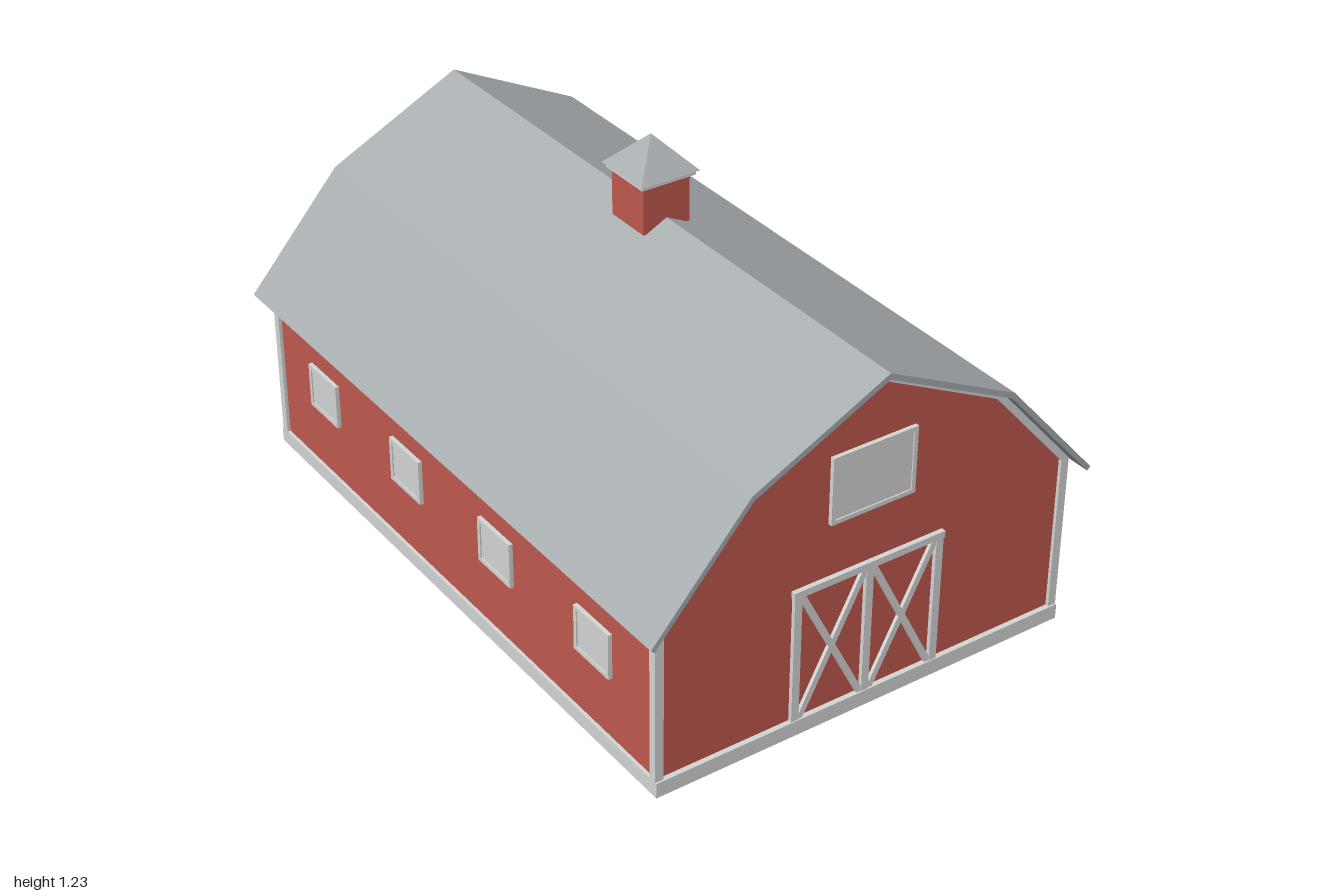
import * as THREE from 'three';

const mat = (name, color) => {
  const m = new THREE.MeshStandardMaterial({ color });
  m.name = name;
  return m;
};

export function createModel() {
  const red = mat('barn red', 0xc05a4e);
  const white = mat('trim white', 0xd4d6d5);
  const grey = mat('roof grey', 0xa8adb0);
  const barn = new THREE.Group();
  barn.name = 'barn';

  const add = (parent, name, geometry, material) => {
    const mesh = new THREE.Mesh(geometry, material);
    mesh.name = name;
    parent.add(mesh);
    return mesh;
  };
  const box = (parent, name, material, w, h, d, x, y, z) => {
    const mesh = add(parent, name, new THREE.BoxGeometry(w, h, d), material);
    mesh.position.set(x, y, z);
    return mesh;
  };
  // Closed outline extruded along z, centred on z = 0
  const prism = (parent, name, material, pts, depth) => {
    const shape = new THREE.Shape(pts.map(([x, y]) => new THREE.Vector2(x, y)));
    const geometry = new THREE.ExtrudeGeometry(shape, { depth, bevelEnabled: false });
    geometry.translate(0, 0, -depth / 2);
    return add(parent, name, geometry, material);
  };
  // Completes a right-hand line ending at the ridge with its mirror image
  const mirrored = (half) => [...half, ...half.slice(0, -1).reverse().map(([x, y]) => [-x, y])];

  // Walls and foundation
  prism(barn, 'walls', red,
    mirrored([[0.635, 0.01], [0.635, 0.515], [0.392, 0.795], [0, 0.988]]), 1.9);
  box(barn, 'foundation', white, 1.29, 0.045, 1.93, 0, 0.0225, 0);

  // Gambrel roof, one bent sheet
  const roofTop = mirrored([[0.685, 0.49], [0.4, 0.815], [0, 1.012]]);
  const roofUnder = mirrored([[0.675, 0.48], [0.394, 0.8], [0, 0.994]]);
  prism(barn, 'roof', grey, [...roofTop, ...roofUnder.reverse()], 2);

  // Corner posts
  for (const sx of [-1, 1]) for (const sz of [-1, 1])
    box(barn, 'cornerPost', white, 0.025, 0.47, 0.025, sx * 0.6325, 0.275, sz * 0.9475);

  // Framed window in the xy plane, facing +z
  const makeWindow = (name, w, h) => {
    const g = new THREE.Group();
    g.name = name;
    const t = 0.012;
    box(g, 'pane', white, w - t, h - t, 0.008, 0, 0, 0.004);
    for (const s of [-1, 1]) {
      box(g, 'frameSide', white, t, h, 0.012, s * (w - t) / 2, 0, 0.006);
      box(g, 'frameRail', white, w - 2 * t, t, 0.012, 0, s * (h - t) / 2, 0.006);
    }
    return g;
  };

  // Side windows
  for (const s of [-1, 1]) for (const z of [-0.683, -0.228, 0.228, 0.683]) {
    const win = makeWindow('sideWindow', 0.155, 0.135);
    win.position.set(s * 0.635, 0.3, z);
    win.rotation.y = s * Math.PI / 2;
    barn.add(win);
  }

  // Both gable ends: rake trim, loft window and braced double doors
  for (const [name, turn] of [['frontGable', 0], ['backGable', Math.PI]]) {
    const end = new THREE.Group();
    end.name = name;
    end.rotation.y = turn;
    barn.add(end);

    const outer = mirrored([[0.645, 0.51], [0.394, 0.798], [0, 0.992]]);
    const inner = mirrored([[0.622, 0.507], [0.382, 0.782], [0, 0.972]]);
    prism(end, 'rakeTrim', white, [...outer, ...inner.reverse()], 0.025).position.z = 0.9475;

    const loft = makeWindow('loftWindow', 0.26, 0.195);
    loft.position.set(0, 0.7, 0.95);
    end.add(loft);

    box(end, 'doorHeader', white, 0.472, 0.02, 0.014, 0, 0.435, 0.957);
    for (const x of [-0.222, 0, 0.222])
      box(end, 'doorPost', white, 0.023, 0.385, 0.012, x, 0.235, 0.956);
    const w = 0.195, h = 0.38;
    for (const x of [-0.111, 0.111]) for (const s of [-1, 1]) {
      const brace = box(end, 'doorBrace', white, 0.018, Math.hypot(w, h), 0.01, x, 0.233, 0.955);
      brace.rotation.z = s * Math.atan2(w, h);
    }
  }

  // Cupola
  const cupola = new THREE.Group();
  cupola.name = 'cupola';
  barn.add(cupola);
  box(cupola, 'cupolaWalls', red, 0.145, 0.145, 0.145, 0, 1.0525, 0);
  box(cupola, 'cupolaTrim', white, 0.168, 0.013, 0.168, 0, 1.1235, 0);
  const cap = new THREE.ConeGeometry(0.092 * Math.SQRT2, 0.095, 4).toNonIndexed();
  cap.computeVertexNormals();
  cap.rotateY(Math.PI / 4);
  add(cupola, 'cupolaRoof', cap, grey).position.y = 1.1775;

  return barn;
}
